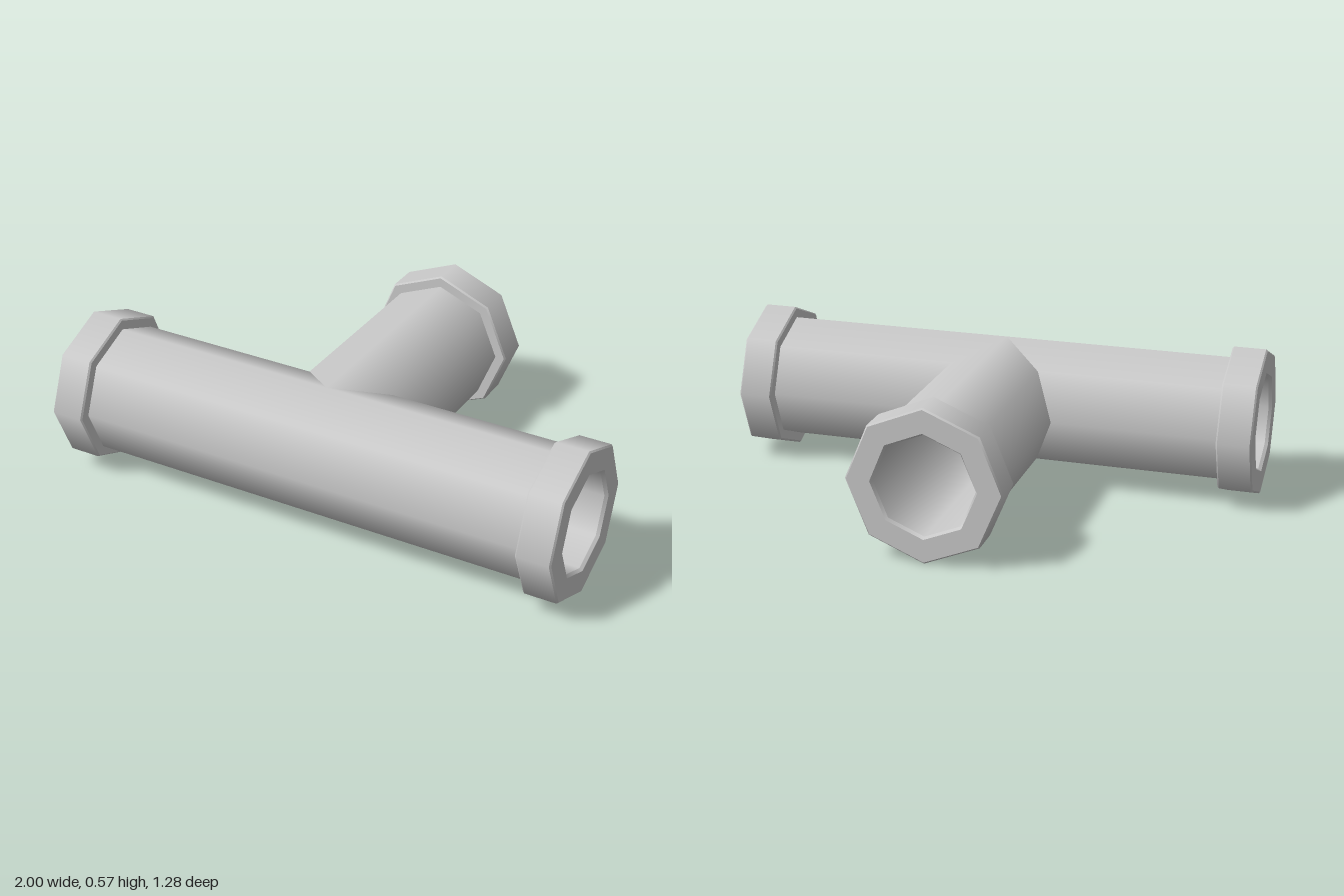
import * as THREE from 'three';

const SIDES = 8;
const OUTER = 0.243, BORE = 0.186, COLLAR = 0.285; // corner radii
const LENGTH = 1, COLLAR_START = 0.87;
const MITRE = 0; // marks rings that end on the joint

const material = new THREE.MeshStandardMaterial({ color: 0xcccccc, side: THREE.DoubleSide });

// Sweeps a [radius, distance] profile round an eight-sided section along +z.
// Each strip is smooth around the pipe and sharp towards its neighbours.
function sweep(name, profile, mitre) {
  const positions = [], normals = [], indices = [];
  for (let i = 0; i < profile.length - 1; i++) {
    const ends = [profile[i], profile[i + 1]];
    const slope = new THREE.Vector2(ends[1][1] - ends[0][1], ends[0][0] - ends[1][0]).normalize();
    const base = positions.length / 3;
    for (const [radius, distance] of ends) {
      for (let j = 0; j <= SIDES; j++) {
        const angle = (j / SIDES) * Math.PI * 2;
        const c = Math.cos(angle), s = Math.sin(angle);
        positions.push(radius * c, radius * s, distance === MITRE ? mitre(radius * c) : distance);
        normals.push(slope.x * c, slope.x * s, slope.y);
      }
    }
    for (let j = 0; j < SIDES; j++) {
      const a = base + j, b = a + SIDES + 1;
      indices.push(a, a + 1, b, a + 1, b + 1, b);
    }
  }
  const geometry = new THREE.BufferGeometry();
  geometry.setAttribute('position', new THREE.Float32BufferAttribute(positions, 3));
  geometry.setAttribute('normal', new THREE.Float32BufferAttribute(normals, 3));
  geometry.setIndex(indices);
  const mesh = new THREE.Mesh(geometry, material);
  mesh.name = name;
  return mesh;
}

// One arm of the tee: outer wall, end collar and bore
function arm(name, turn, mitre) {
  const group = new THREE.Group();
  group.name = name;
  group.rotation.y = turn;
  const bevel = 0.006;
  group.add(
    sweep('pipeWall', [[OUTER, MITRE], [OUTER, COLLAR_START]], mitre),
    sweep('collar', [
      [OUTER, COLLAR_START],
      [COLLAR - bevel, COLLAR_START],
      [COLLAR, COLLAR_START + bevel],
      [COLLAR, LENGTH - bevel],
      [COLLAR - bevel, LENGTH],
      [BORE + 0.008, LENGTH],
      [BORE, LENGTH - 0.012],
    ], mitre),
    sweep('bore', [[BORE, LENGTH - 0.012], [BORE, MITRE]], mitre),
  );
  return group;
}

export function createModel() {
  const tee = new THREE.Group();
  tee.name = 'pipeTee';
  // The three arms meet on 45 degree mitres, so the bores join up
  tee.add(
    arm('leftArm', Math.PI / 2, (u) => Math.max(u, 0)),
    arm('rightArm', -Math.PI / 2, (u) => Math.max(-u, 0)),
    arm('backBranch', Math.PI, (u) => Math.abs(u)),
  );
  tee.position.set(0, COLLAR + 0.005, (LENGTH - COLLAR) / 2);
  const model = new THREE.Group();
  model.name = 'model';
  model.add(tee);
  return model;
}
